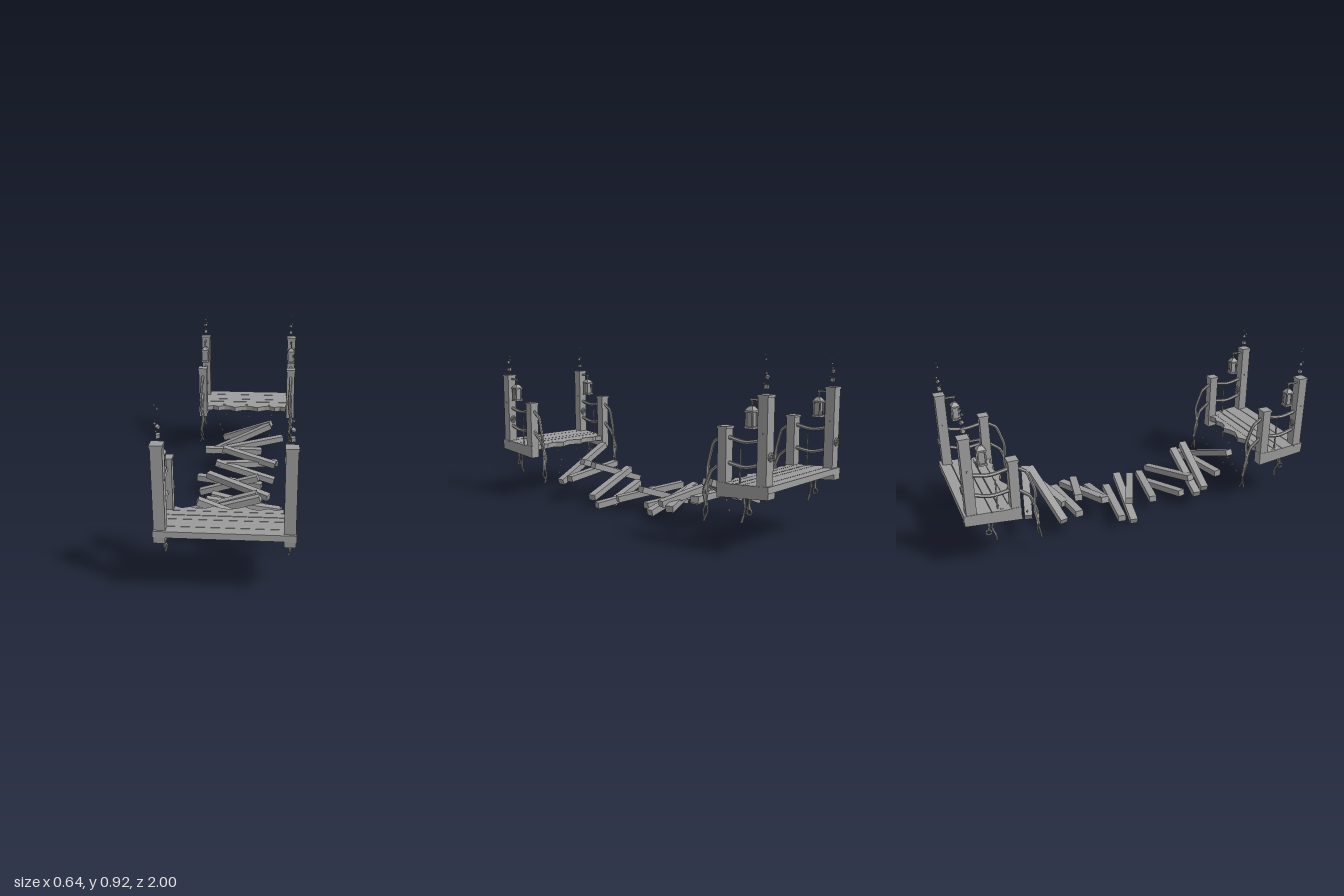
import * as THREE from 'three';

export function createModel() {
  const stone = new THREE.MeshStandardMaterial({ color: 0x9c9c9c });
  stone.name = 'weathered grey';
  stone.side = THREE.DoubleSide;
  const model = new THREE.Group();
  model.name = 'brokenBridge';
  const V = (x, y, z) => new THREE.Vector3(x, y, z);

  const add = (parent, name, geo, x = 0, y = 0, z = 0) => {
    const m = new THREE.Mesh(geo.index ? geo.toNonIndexed() : geo, stone);
    m.geometry.computeVertexNormals();
    m.name = name;
    m.position.set(x, y, z);
    parent.add(m);
    return m;
  };
  const box = (parent, name, w, h, d, x, y, z) => add(parent, name, new THREE.BoxGeometry(w, h, d), x, y, z);

  // rope of straight or smooth stretches with a six-sided section
  const rope = (parent, name, pts, r = 0.009, tension = 0.1) => {
    const curve = new THREE.CatmullRomCurve3(pts.map(p => V(...p)), false, 'catmullrom', tension);
    add(parent, name, new THREE.TubeGeometry(curve, pts.length * 4, r, 6), 0, 0, 0);
    for (const [p, q] of [[pts[0], pts[1]], [pts.at(-1), pts.at(-2)]]) {
      const cap = add(parent, name + 'End', new THREE.CircleGeometry(r, 6), ...p);
      cap.lookAt(V(...p).multiplyScalar(2).sub(V(...q)));
    }
  };

  // bar with a rectangular section between two points
  const bar = (parent, name, a, b, w, h) => {
    const from = V(...a), to = V(...b), dir = to.clone().sub(from);
    const m = box(parent, name, w, h, dir.length(), 0, 0, 0);
    m.position.copy(from.add(to).multiplyScalar(0.5));
    m.lookAt(m.position.clone().add(dir));
  };

  const lantern = (parent, x) => {
    const g = new THREE.Group();
    g.name = 'lantern';
    g.position.set(x, 0, 0.882);
    parent.add(g);
    box(g, 'bracket', 0.009, 0.009, 0.065, 0, 0.73, 0.025);
    box(g, 'hook', 0.006, 0.035, 0.006, 0, 0.714, 0);
    box(g, 'base', 0.048, 0.01, 0.048, 0, 0.603, 0);
    box(g, 'glass', 0.028, 0.07, 0.028, 0, 0.642, 0);
    box(g, 'rim', 0.048, 0.008, 0.048, 0, 0.676, 0);
    for (const sx of [-1, 1]) for (const sz of [-1, 1])
      box(g, 'frameBar', 0.007, 0.07, 0.007, sx * 0.018, 0.641, sz * 0.018);
    const roof = add(g, 'roof', new THREE.CylinderGeometry(0.012, 0.033, 0.02, 4), 0, 0.69, 0);
    roof.rotation.y = Math.PI / 4;
  };

  // one bridge head, with its broken edge facing -z
  const bridgeHead = (isBack) => {
    const head = new THREE.Group();
    head.name = isBack ? 'backPlatform' : 'frontPlatform';
    model.add(head);

    // deck boards, dipping slightly towards the gap
    const boards = [[1, 0.943, 0.32], [0.94, 0.863, 0.318], [0.86, 0.818, 0.318], [0.813, 0.767, 0.3]];
    for (const [z0, z1, half] of boards) {
      const z = (z0 + z1) / 2;
      const b = box(head, 'deckBoard', half * 2, 0.03, z0 - z1, 0, 0.335 - (1 - z) * 0.07, z);
      b.rotation.x = -0.07;
    }

    // splintered last board
    const s = new THREE.Shape();
    s.moveTo(-0.262, -0.764);
    const edge = [0.72, 0.737, 0.722, 0.74, 0.735, 0.71, 0.728, 0.738, 0.726, 0.705, 0.733, 0.738, 0.72, 0.736, 0.72];
    edge.forEach((z, i) => s.lineTo(-0.262 + 0.524 * i / (edge.length - 1), -z));
    s.lineTo(0.262, -0.764);
    const broken = add(head, 'splinteredBoard', new THREE.ExtrudeGeometry(s, { depth: 0.03, bevelEnabled: false }), 0, 0.304, 0);
    broken.rotation.x = -Math.PI / 2;

    for (const side of [-1, 1]) {
      const x = side * 0.29;
      // side beam with a sloping underside
      const p = new THREE.Shape([[0.998, 0.29], [0.998, 0.335], [0.71, 0.335], [0.71, 0.262]]
        .map(([z, y]) => new THREE.Vector2(z, y)));
      const beam = add(head, 'sideBeam', new THREE.ExtrudeGeometry(p, { depth: 0.054, bevelEnabled: false }), side * 0.291 - 0.027, 0, 0);
      beam.geometry.rotateY(-Math.PI / 2).translate(0.054, 0, 0);

      box(head, 'tallPost', 0.054, 0.42, 0.052, x, 0.54, 0.96);
      box(head, 'tallPostCap', 0.06, 0.012, 0.058, x, 0.751, 0.96);
      box(head, 'shortPost', 0.052, 0.29, 0.05, x, 0.445, 0.736);
      box(head, 'shortPostCap', 0.06, 0.012, 0.058, x, 0.592, 0.736);
      box(head, 'postPeg', 0.06, 0.008, 0.008, x, 0.585, 0.96);
      lantern(head, x);

      // handrails and thin upright
      rope(head, 'upperRail', [[x, 0.55, 0.94], [x, 0.533, 0.85], [x, 0.548, 0.75]], 0.01, 0.5);
      rope(head, 'lowerRail', [[x, 0.44, 0.94], [x, 0.417, 0.85], [x, 0.428, 0.75]], 0.01, 0.5);
      box(head, 'thinUpright', 0.006, 0.17, 0.006, x, 0.415, 0.825);

      // snapped rails hanging into the gap
      rope(head, 'snappedUpperRail', [[x, 0.548, 0.72], [x, 0.51, 0.665], [x + 0.008, 0.4, 0.63], [x - 0.006, 0.28, 0.635], [x + 0.004, 0.2, 0.62]]);
      rope(head, 'snappedLowerRail', [[x, 0.425, 0.72], [x, 0.37, 0.655], [x - 0.01, 0.27, 0.62], [x + 0.005, 0.2, 0.625]]);
      rope(head, 'frayedStrand', [[x + 0.004, 0.21, 0.62], [x - 0.008, 0.17, 0.615], [x + 0.012, 0.12, 0.61]], 0.005);
      rope(head, 'frayedStrand', [[x + 0.005, 0.21, 0.625], [x + 0.01, 0.17, 0.63], [x - 0.012, 0.125, 0.622]], 0.005);

      // tether dangling beneath the beam
      rope(head, 'tether', [[x, 0.29, 0.885], [x + 0.005, 0.25, 0.875], [x, 0.225, 0.88]], 0.007);
      const ring = add(head, 'tetherRing', new THREE.TorusGeometry(0.014, 0.005, 6, 10), x, 0.212, 0.88);
      ring.rotation.y = Math.PI / 2;
      rope(head, 'tetherEnd', [[x, 0.28, 0.85], [x - 0.008, 0.23, 0.86], [x + 0.006, 0.19, 0.845], [x - 0.004, 0.155, 0.84]], 0.006);

      // rope knot on the post
      const kz = isBack ? 0.99 : 0.93;
      add(head, 'postKnot', new THREE.TorusGeometry(0.016, 0.006, 6, 10), x, 0.48, kz);
      add(head, 'postKnotCore', new THREE.IcosahedronGeometry(0.009, 0), x, 0.48, kz);

      // rubble drifting above the tall post
      const rubble = [[0.004, 0.79, 0.955, 0.019], [0.005, 0.832, 0.957, 0.015], [-0.005, 0.805, 0.945, 0.007],
        [-0.007, 0.848, 0.96, 0.009], [0.004, side > 0 ? 0.87 : 0.91, 0.95, 0.009], [-0.007, side > 0 ? 0.888 : 0.928, 0.953, 0.006]];
      rubble.forEach(([dx, y, z, size], i) => {
        const c = box(head, 'rubble', size, size, size, -0.288 * -side + dx, y, z);
        c.rotation.set(i * 0.4 + 0.1, i * 0.7 + 0.2, 0.12 * i);
      });
    }

    // chips falling from the splintered edge
    for (const cx of [-0.15, 0, 0.15]) for (let i = 0; i < 4; i++) {
      const chip = add(head, 'chip', new THREE.OctahedronGeometry(0.007, 0),
        cx + ((i * 7) % 4 - 1.5) * 0.012, 0.29 - i * 0.045 + Math.abs(cx) * 0.1 - 0.015, 0.69 - ((i * 3) % 4) * 0.025);
      chip.scale.y = 1.5;
    }
    if (isBack) head.rotation.y = Math.PI;
  };
  bridgeHead(false);
  bridgeHead(true);

  // tumbled planks across the gap: right end, left end
  const planks = [
    [[-0.14, 0.15, -0.63], [0.17, 0.285, -0.55]],
    [[-0.21, 0.12, -0.455], [0.165, 0.28, -0.525]],
    [[-0.1, 0.16, -0.41], [0.245, 0.2, -0.515]],
    [[-0.24, 0.165, -0.375], [0.115, 0.15, -0.405]],
    [[-0.12, 0.19, -0.335], [0.205, 0.125, -0.25]],
    [[-0.14, 0.15, -0.185], [0.215, 0.11, -0.32]],
    [[-0.155, 0.16, -0.19], [0.2, 0.06, -0.165]],
    [[-0.26, 0.085, -0.135], [0.13, 0.07, -0.07]],
    [[-0.235, 0.03, -0.05], [0.11, 0.15, -0.01]],
    [[-0.19, 0.14, -0.06], [0.175, 0.085, 0.11]],
    [[-0.15, 0.09, 0.11], [0.248, 0.045, 0.205]],
    [[-0.17, 0.1, 0.285], [0.135, 0.04, 0.2]],
    [[-0.155, 0.18, 0.35], [0.24, 0.08, 0.255]],
    [[-0.235, 0.11, 0.35], [0.12, 0.235, 0.375]],
    [[-0.215, 0.125, 0.41], [0.14, 0.25, 0.45]],
    [[-0.19, 0.19, 0.51], [0.225, 0.155, 0.47]],
    [[-0.17, 0.3, 0.595], [0.225, 0.125, 0.55]],
  ];
  planks.forEach(([a, b]) => bar(model, 'fallenPlank', a, b, 0.043, 0.035));
  return model;
}
